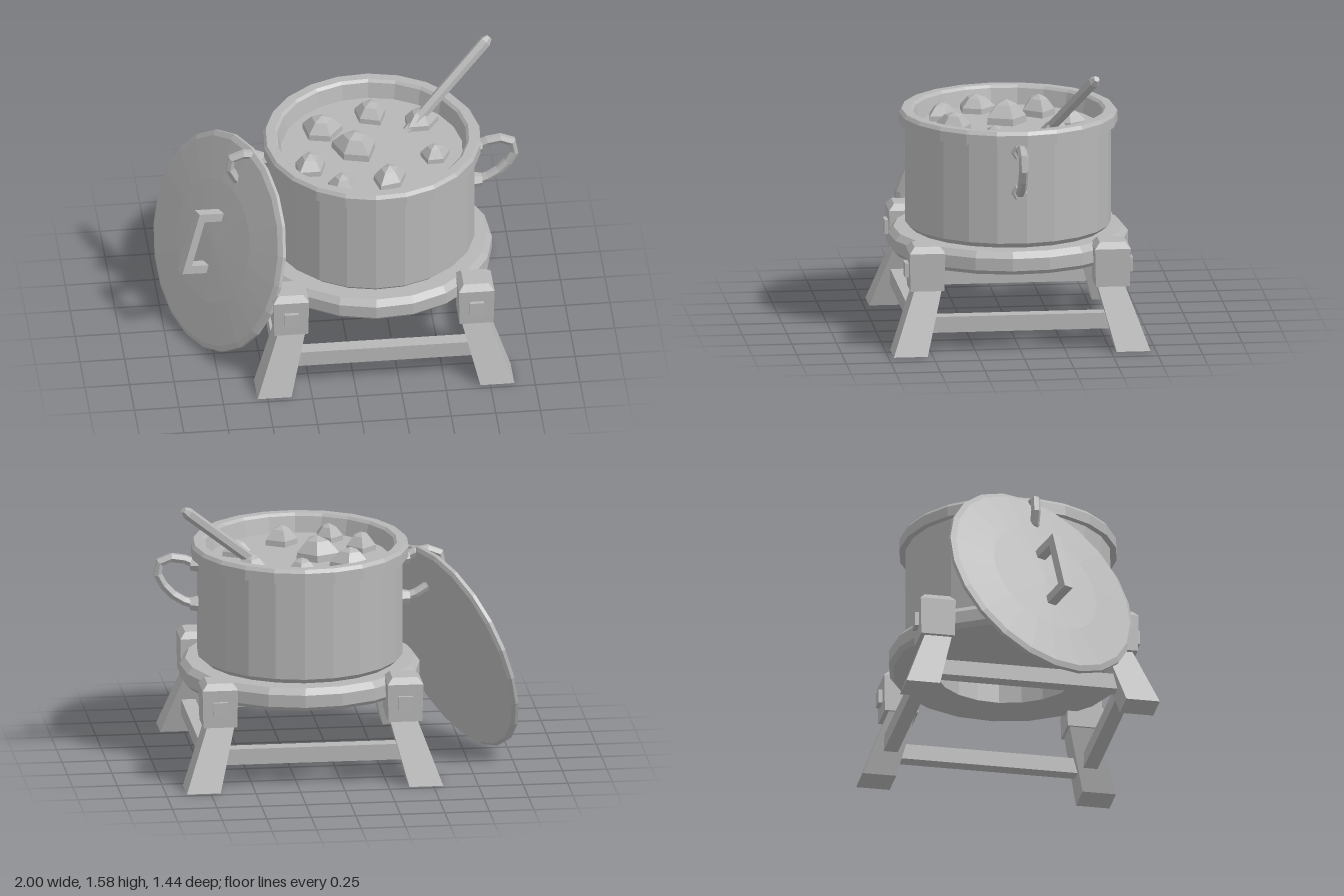
import * as THREE from 'three';

const CX = 0.165; // centre of pot and stand
const grey = new THREE.MeshStandardMaterial({ color: 0xb6b6b6 });
grey.name = 'grey';

// Faceted mesh with hard normals
function part(name, geometry, parent, x = 0, y = 0, z = 0) {
  const g = geometry.index ? geometry.toNonIndexed() : geometry;
  g.computeVertexNormals();
  const mesh = new THREE.Mesh(g, grey);
  mesh.name = name;
  mesh.position.set(x, y, z);
  parent.add(mesh);
  return mesh;
}

const lathe = (pts, sides, start = -0.07) =>
  new THREE.LatheGeometry(pts.map(([r, y]) => new THREE.Vector2(r, y)), sides, start);

// Box whose top and bottom differ in size, with the bottom shifted sideways
function taper(top, bottom, h, dx = 0, dz = 0) {
  const g = new THREE.BoxGeometry(1, h, 1);
  const p = g.attributes.position;
  for (let i = 0; i < p.count; i++) {
    const low = p.getY(i) < 0, s = low ? bottom : top;
    p.setXYZ(i, p.getX(i) * s + (low ? dx : 0), p.getY(i), p.getZ(i) * s + (low ? dz : 0));
  }
  return g;
}

// Irregular five-sided chunk
function chunk(r, h, seed) {
  const g = lathe([[r, -0.03], [r * 0.95, h * 0.3], [r * 0.5, h * 0.8], [0, h]], 5, seed);
  const p = g.attributes.position;
  for (let i = 0; i < p.count; i++) {
    const x = p.getX(i), z = p.getZ(i), a = Math.atan2(z, x);
    const k = 1 + 0.13 * Math.sin(2 * a + seed * 3);
    p.setXYZ(i, x * k + 0.012 * Math.sin(seed), p.getY(i), z * k);
  }
  return g;
}

function buildStand(root) {
  const stand = new THREE.Group();
  stand.name = 'stand';
  stand.position.x = CX;
  root.add(stand);

  part('supportRing', lathe([[0.4, 0.44], [0.645, 0.44], [0.67, 0.465], [0.67, 0.535],
    [0.64, 0.57], [0.4, 0.57], [0.4, 0.44]], 20), stand);

  for (const sx of [-1, 1]) for (const sz of [-1, 1]) {
    part('leg', taper(0.15, 0.19, 0.38, sx * 0.12, sz * 0.12), stand, sx * 0.505, 0.19, sz * 0.505);
    part('legBlock', taper(0.2, 0.19, 0.215), stand, sx * 0.52, 0.4575, sz * 0.52);
    part('blockCap', taper(0.14, 0.2, 0.035), stand, sx * 0.52, 0.5825, sz * 0.52);
    part('peg', new THREE.BoxGeometry(0.08, 0.08, 0.04), stand, sx * 0.52, 0.46, sz * 0.62);
  }
  // Rails between the legs
  for (const s of [-1, 1]) {
    part('crossRail', new THREE.BoxGeometry(1.1, 0.09, 0.08), stand, 0, 0.175, s * 0.568);
    part('sideRail', new THREE.BoxGeometry(0.08, 0.09, 1.1), stand, s * 0.568, 0.155, 0);
  }
}

function buildPot(root) {
  const pot = new THREE.Group();
  pot.name = 'pot';
  pot.position.x = CX;
  root.add(pot);

  part('potBody', lathe([[0, 0.565], [0.535, 0.565], [0.575, 0.6], [0.575, 1.18]], 22), pot);
  part('rim', lathe([[0.575, 1.165], [0.61, 1.165], [0.61, 1.225], [0.595, 1.245],
    [0.545, 1.245], [0.53, 1.23], [0.505, 1.12]], 22), pot);
  part('stew', lathe([[0.53, 1.14], [0, 1.14]], 22), pot);

  // Loop handles, mirrored across the pot
  const path = new THREE.CatmullRomCurve3([[0.58, 1.125], [0.66, 1.16], [0.745, 1.165], [0.8, 1.125],
    [0.79, 1.05], [0.69, 0.935], [0.58, 0.89]].map(([x, y]) => new THREE.Vector3(x, y, 0)));
  for (const turn of [0, Math.PI]) {
    const handle = new THREE.Group();
    handle.name = 'potHandle';
    handle.rotation.y = turn;
    pot.add(handle);
    part('handleLoop', new THREE.TubeGeometry(path, 8, 0.027, 6), handle);
    for (const y of [1.125, 0.895])
      part('handleBoss', new THREE.CylinderGeometry(0.036, 0.046, 0.05, 6), handle, 0.592, y, 0)
        .rotation.z = -Math.PI / 2;
  }
}

function buildFood(root) {
  const food = new THREE.Group();
  food.name = 'food';
  root.add(food);
  [[-0.1, -0.2, 0.11, 0.115], [0.18, -0.33, 0.1, 0.1], [0.46, -0.23, 0.1, 0.1], [0.08, 0, 0.125, 0.13],
    [-0.19, 0.14, 0.1, 0.1], [0.5, 0.11, 0.08, 0.09], [-0.05, 0.35, 0.085, 0.095], [0.23, 0.31, 0.1, 0.105]]
    .forEach(([x, z, r, h], i) => part('chunk', chunk(r, h, i * 1.3 + 0.4), food, x, 1.14, z));
}

function buildSpoon(root) {
  const from = new THREE.Vector3(0.38, 1.13, -0.17), to = new THREE.Vector3(0.87, 1.565, -0.42);
  const len = from.distanceTo(to);
  const spoon = part('spoonHandle', lathe([[0, 0], [0.032, 0], [0.034, len - 0.035],
    [0.018, len], [0, len]], 6), root, ...from.toArray());
  spoon.quaternion.setFromUnitVectors(new THREE.Vector3(0, 1, 0), to.sub(from).normalize());
}

function buildLid(root) {
  const lid = new THREE.Group();
  lid.name = 'lid';
  root.add(lid);
  // Leaning against the pot, its outer face along n
  const n = new THREE.Vector3(-0.86, 0.3, 0.41).normalize();
  const up = new THREE.Vector3(0, 1, 0).addScaledVector(n, -n.y).normalize();
  lid.quaternion.setFromRotationMatrix(new THREE.Matrix4().makeBasis(n.clone().cross(up), n, up));
  lid.position.set(-0.69, 0.6, 0.015);

  part('lidDisc', lathe([[0, -0.025], [0.6, -0.025], [0.62, -0.01], [0.62, 0.01],
    [0.59, 0.025], [0.35, 0.045], [0, 0.055]], 22), lid);
  for (const s of [-1, 1])
    part('lidHandlePost', new THREE.BoxGeometry(0.055, 0.15, 0.05), lid, 0, 0.105, s * 0.165);
  part('lidHandleGrip', new THREE.BoxGeometry(0.055, 0.05, 0.38), lid, 0, 0.19, 0);
}

export function createModel() {
  const root = new THREE.Group();
  root.name = 'stewPot';
  buildStand(root);
  buildPot(root);
  buildFood(root);
  buildSpoon(root);
  buildLid(root);
  return root;
}
